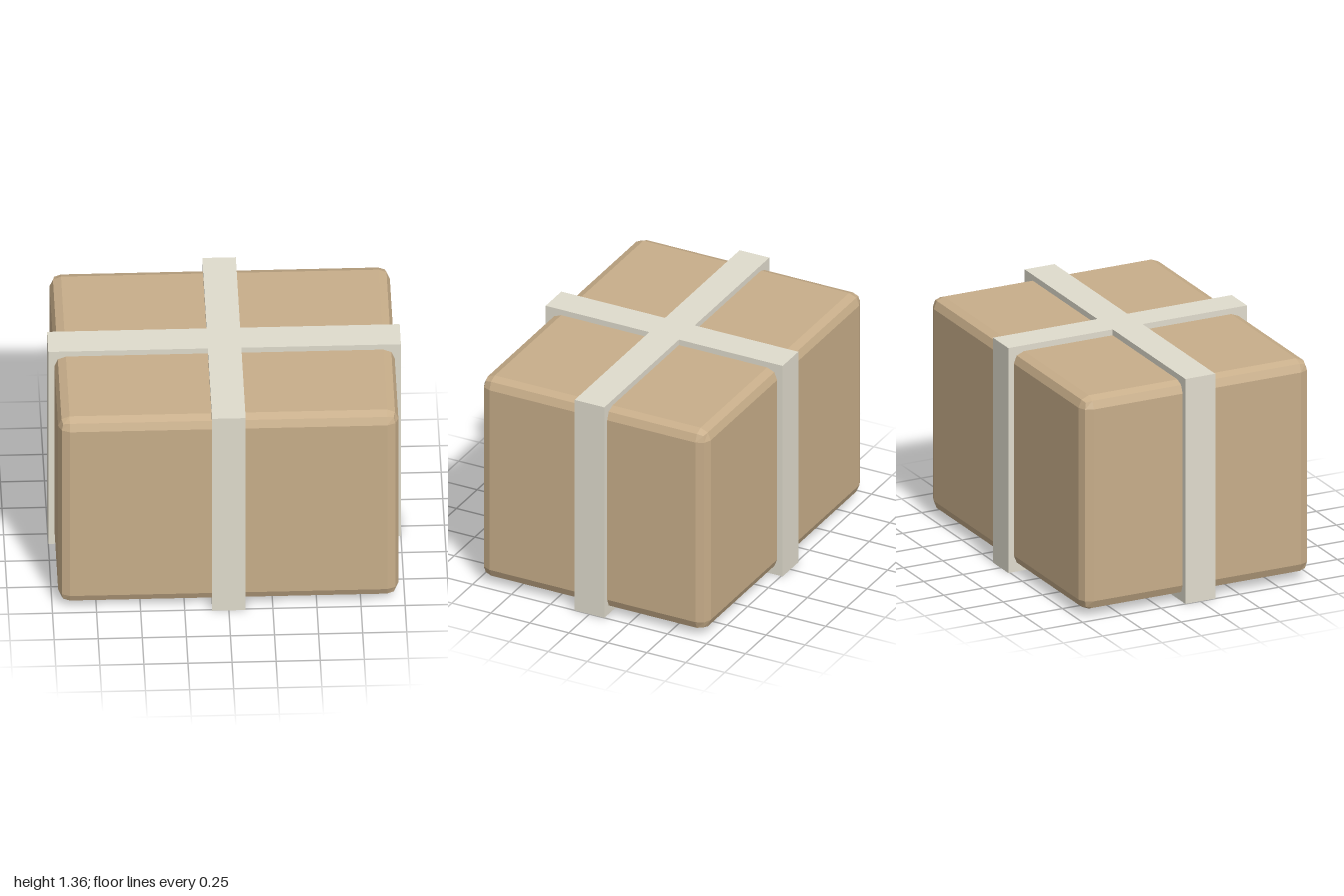
import * as THREE from 'three';
import { RoundedBoxGeometry } from 'three/addons/geometries/RoundedBoxGeometry.js';

const HEIGHT = 1.36;
const HALF_X = 1, HALF_Z = 0.76; // outer reach of the straps
const HALF_BAND = 0.095; // half the strap width
const LIP = 0.035; // how far the straps stand proud of the box

export function createModel() {
  const group = new THREE.Group();
  group.name = 'strappedBox';

  // Box body with a two-facet bevel on every edge
  const bodyGeometry = new RoundedBoxGeometry(
    2 * (HALF_X - LIP), HEIGHT - 2 * LIP, 2 * (HALF_Z - LIP), 1, 0.065);
  bodyGeometry.computeVertexNormals();
  const body = new THREE.Mesh(bodyGeometry,
    new THREE.MeshStandardMaterial({ color: 0xc8ae8a, flatShading: true }));
  body.name = 'box';
  body.position.y = HEIGHT / 2;
  group.add(body);

  // Two crossing straps as one plus-shaped outline, extruded upwards
  const b = HALF_BAND;
  const outline = [
    [HALF_X, -b], [HALF_X, b], [b, b], [b, HALF_Z], [-b, HALF_Z], [-b, b],
    [-HALF_X, b], [-HALF_X, -b], [-b, -b], [-b, -HALF_Z], [b, -HALF_Z], [b, -b],
  ].map(([x, y]) => new THREE.Vector2(x, y));
  const strapGeometry = new THREE.ExtrudeGeometry(new THREE.Shape(outline),
    { depth: HEIGHT, bevelEnabled: false });
  strapGeometry.rotateX(-Math.PI / 2);
  const straps = new THREE.Mesh(strapGeometry,
    new THREE.MeshStandardMaterial({ color: 0xe0dccd, flatShading: true }));
  straps.name = 'crossedStraps';
  group.add(straps);

  return group;
}
